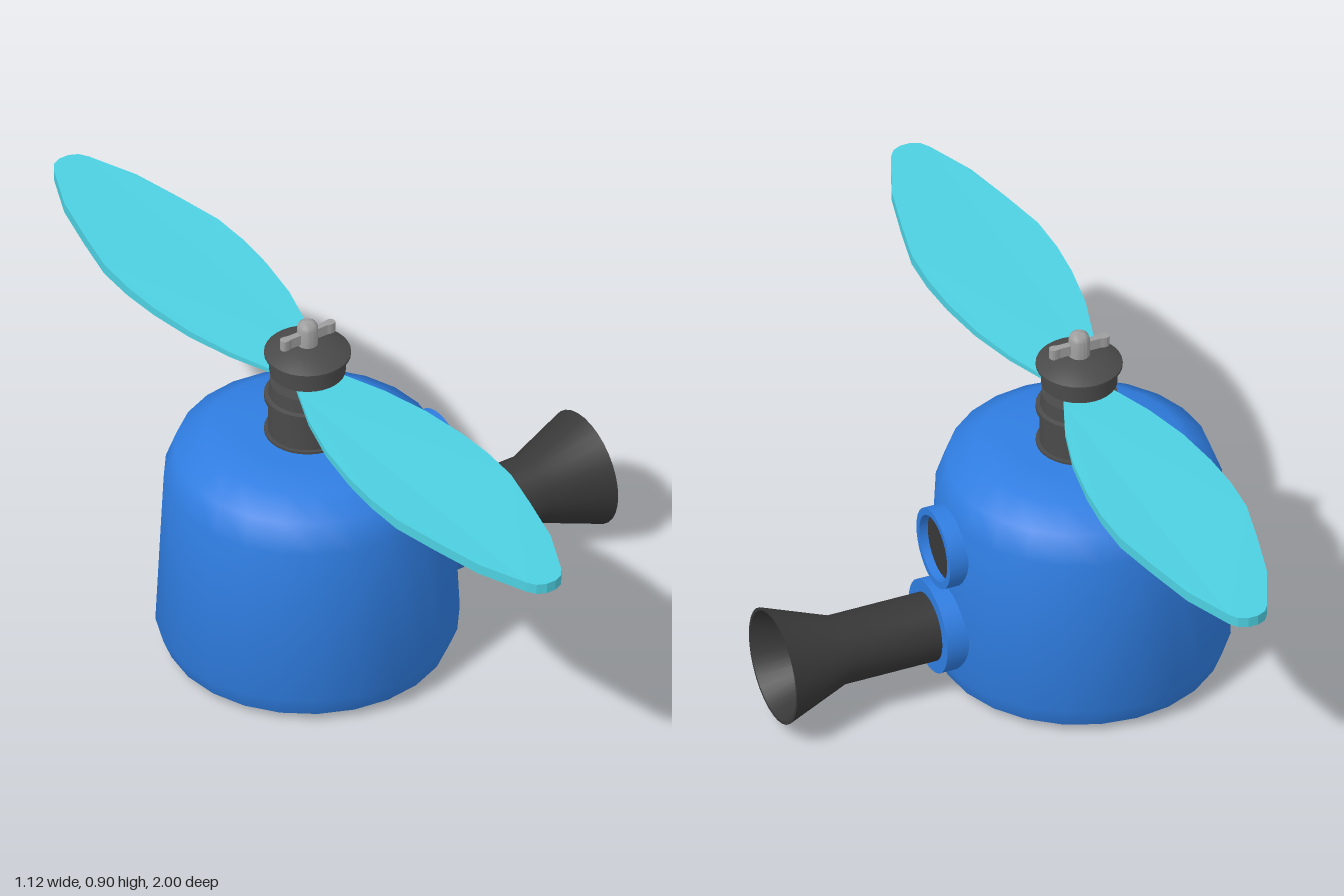
import * as THREE from 'three';
import { toCreasedNormals } from 'three/addons/utils/BufferGeometryUtils.js';

const AXIS_X = -0.21; // vertical axis of the body and rotor
const mat = (color) => new THREE.MeshStandardMaterial({ color });

export function createModel() {
  const model = new THREE.Group();
  const blue = mat(0x2f7de1), cyan = mat(0x4dd0e1);
  const dark = mat(0x4a4a4a), black = mat(0x383838), grey = mat(0x9e9e9e);

  function add(name, geometry, material, parent = model) {
    const mesh = new THREE.Mesh(geometry, material);
    mesh.name = name;
    parent.add(mesh);
    return mesh;
  }

  // Turned part from [radius, height] pairs, bottom to top
  function turned(name, profile, material, parent, sides = 24) {
    const points = profile.map(([r, h]) => new THREE.Vector2(r, h));
    const geometry = new THREE.LatheGeometry(points, sides);
    return add(name, toCreasedNormals(geometry, 0.73), material, parent);
  }

  // Turned part lying along +x
  function turnedAlongX(name, profile, material, y, sides = 32) {
    const mesh = turned(name, profile, material, model, sides);
    mesh.rotation.z = -Math.PI / 2;
    mesh.position.y = y;
    return mesh;
  }

  // Body and rotor share one vertical axis
  const upright = new THREE.Group();
  upright.name = 'bodyAndRotor';
  upright.position.x = AXIS_X;
  model.add(upright);

  turned('body', [
    [0, 0], [0.28, 0], [0.33, 0.02], [0.35, 0.07], [0.331, 0.47],
    [0.305, 0.54], [0.24, 0.578], [0.15, 0.589], [0, 0.59],
  ], blue, upright);

  turned('neck', [
    [0.1, 0.58], [0.1, 0.595], [0.091, 0.595], [0.091, 0.678], [0.1, 0.682],
    [0.1, 0.694], [0.09, 0.697], [0.087, 0.731], [0, 0.731],
  ], dark, upright, 32);

  turned('shaft', [[0.045, 0.72], [0.045, 0.77]], dark, upright);

  turned('cap', [
    [0, 0.758], [0.088, 0.758], [0.088, 0.8], [0.1, 0.805], [0.1, 0.811],
    [0.06, 0.834], [0, 0.834],
  ], dark, upright, 32);

  // Propeller: half-width by distance from the hub, mirrored to both sides
  const halfWidths = [
    [0, 0.04], [0.06, 0.065], [0.16, 0.105], [0.28, 0.138], [0.4, 0.156], [0.5, 0.162],
    [0.6, 0.158], [0.72, 0.132], [0.85, 0.1], [0.97, 0.048], [0.99, 0.034], [1, 0.012],
  ];
  const outline = [
    ...halfWidths.map(([d, w]) => new THREE.Vector2(w, d)),
    ...halfWidths.slice().reverse().map(([d, w]) => new THREE.Vector2(-w, d)),
  ];
  const blade = new THREE.ExtrudeGeometry(new THREE.Shape(outline), {
    depth: 0.026, bevelEnabled: false, curveSegments: 1,
  });
  blade.translate(0, 0, -0.013).rotateX(Math.PI / 2);
  // Blades thin out towards the hub
  const p = blade.attributes.position;
  for (let i = 0; i < p.count; i++) {
    p.setY(i, p.getY(i) * Math.min(1, 0.35 + 1.1 * Math.abs(p.getZ(i))));
  }
  blade.computeVertexNormals();
  for (const turn of [0, Math.PI]) {
    const mesh = add(turn ? 'backBlade' : 'frontBlade', blade, cyan, upright);
    mesh.position.y = 0.745;
    mesh.rotation.y = turn;
  }

  // Wing nut on top
  turned('nut', [
    [0.025, 0.83], [0.025, 0.877], [0.021, 0.888], [0.012, 0.895], [0, 0.896],
  ], grey, upright, 16);
  for (const side of [-1, 1]) {
    const wing = new THREE.Shape();
    wing.moveTo(0, -0.008);
    wing.lineTo(0.05, -0.008);
    wing.quadraticCurveTo(0.074, -0.016, 0.074, 0);
    wing.quadraticCurveTo(0.074, 0.016, 0.05, 0.008);
    wing.lineTo(0, 0.008);
    const geometry = new THREE.ExtrudeGeometry(wing, {
      depth: 0.026, bevelEnabled: false, curveSegments: 5,
    });
    const mesh = add(side > 0 ? 'leftWing' : 'rightWing', geometry, grey, upright);
    geometry.translate(0, 0, -0.013).rotateX(Math.PI / 2);
    mesh.position.y = 0.855;
    mesh.rotation.y = side > 0 ? 0 : Math.PI;
  }

  // Upper port: rim with a recessed dark disc
  turnedAlongX('portRim', [
    [0.097, 0.06], [0.097, 0.155], [0.08, 0.155], [0.08, 0.1],
  ], blue, 0.387);
  turnedAlongX('portDisc', [[0.08, 0.134], [0, 0.134]], black, 0.387);

  // Lower collar with the flared, hollow nozzle
  turnedAlongX('nozzleCollar', [
    [0.112, 0.06], [0.112, 0.168], [0, 0.168],
  ], blue, 0.17);
  turnedAlongX('nozzle', [
    [0.082, 0.15], [0.082, 0.4], [0.139, 0.556], [0.132, 0.556],
    [0.057, 0.38], [0, 0.38],
  ], black, 0.17);

  return model;
}
